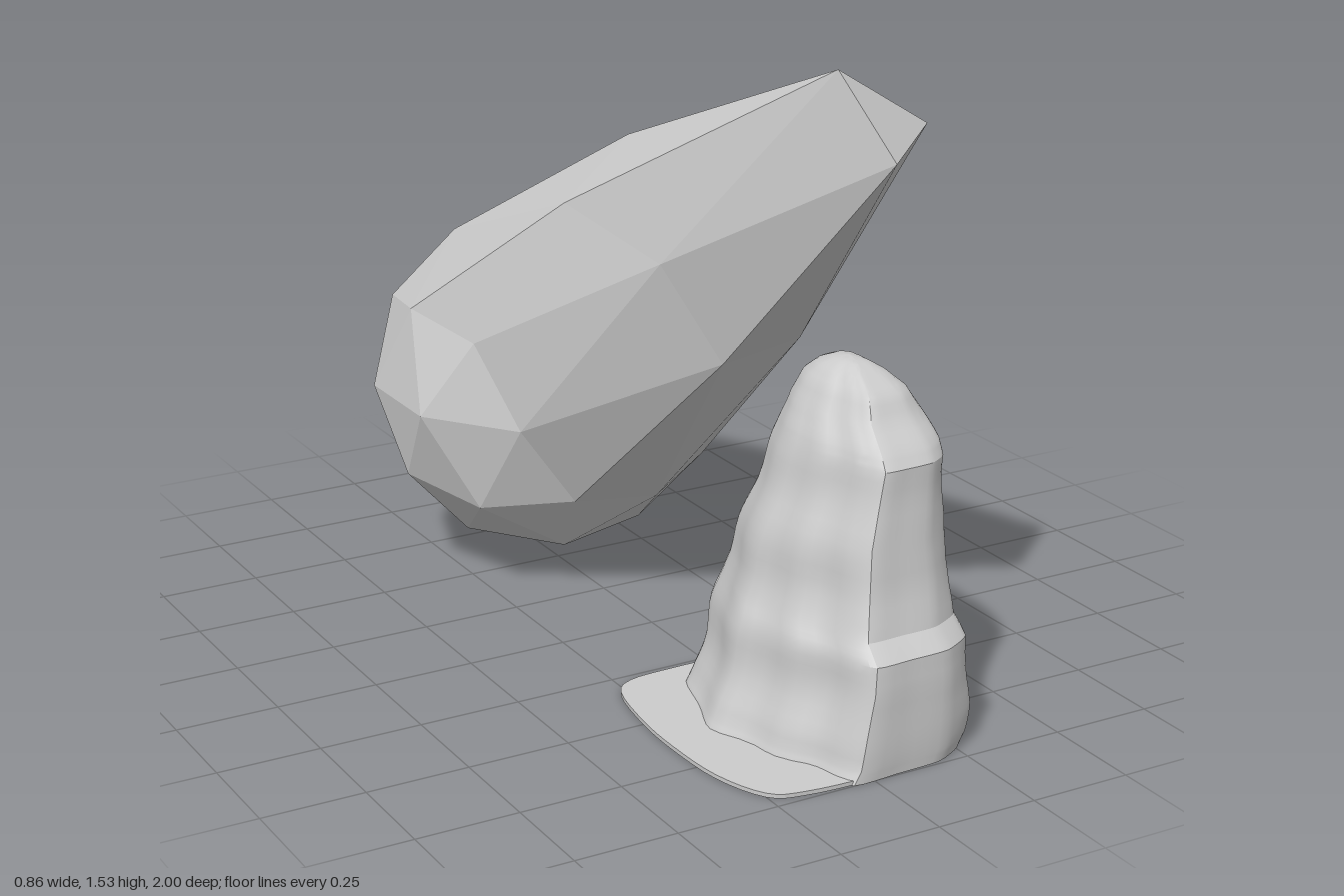
import * as THREE from 'three';
import { toCreasedNormals } from 'three/addons/utils/BufferGeometryUtils.js';
import { ConvexGeometry } from 'three/addons/geometries/ConvexGeometry.js';

const V = (x, y, z) => new THREE.Vector3(x, y, z);

// Once-subdivided icosahedron with a pole up, one face pulled away with a smooth falloff
function teardropGeometry() {
  const radius = 0.45, centre = V(0, 0.49, -0.55), pull = V(0, 0.66, 1.01);
  const h = 1 / Math.sqrt(5), r = 2 * h;
  const corners = [V(0, 1, 0), V(0, -1, 0)];
  for (let i = 0; i < 5; i++) {
    const a = i * Math.PI * 0.4, b = a + Math.PI / 5;
    corners.push(V(r * Math.cos(a), h, r * Math.sin(a)), V(r * Math.cos(b), -h, r * Math.sin(b)));
  }
  const mid = (a, b) => a.clone().add(b).normalize();
  const points = [...corners];
  corners.forEach((a, i) => corners.slice(i + 1).forEach(b => {
    if (a.distanceTo(b) < 1.1) points.push(mid(a, b));
  }));
  const geo = new ConvexGeometry(points);

  // The three corners of the pulled tip face
  const top = corners[0], side = corners[2], front = corners[4];
  const tip = [front, mid(front, top), mid(front, side)];
  const pos = geo.attributes.position, p = V(0, 0, 0);
  for (let i = 0; i < pos.count; i++) {
    p.fromBufferAttribute(pos, i);
    const d = Math.max(0, 1 - Math.min(...tip.map(t => t.distanceTo(p))));
    const f = d * d * (3 - 2 * d);
    p.multiplyScalar(radius).add(centre).addScaledVector(pull, f);
    pos.setXYZ(i, p.x, p.y, p.z);
  }
  geo.computeVertexNormals();
  return geo;
}

// Weathered stone: an angular outline lofted through rows of [y, left x, right x, back z, front z]
function stoneGeometry() {
  const rows = [
    [0.0, -0.19, 0.30, 0.285, 1.0], [0.03, -0.17, 0.31, 0.28, 1.0],
    [0.1, -0.15, 0.31, 0.28, 0.998], [0.2, -0.12, 0.305, 0.285, 0.998],
    [0.265, -0.105, 0.295, 0.30, 0.99], [0.305, -0.095, 0.285, 0.31, 0.945],
    [0.4, -0.07, 0.29, 0.34, 0.92], [0.5, -0.045, 0.275, 0.375, 0.902],
    [0.6, -0.01, 0.28, 0.40, 0.89], [0.67, 0.012, 0.28, 0.42, 0.885],
    [0.7, 0.02, 0.28, 0.43, 0.86], [0.75, 0.04, 0.27, 0.45, 0.80],
    [0.8, 0.07, 0.25, 0.48, 0.765], [0.83, 0.1, 0.22, 0.525, 0.71],
    [0.848, 0.13, 0.19, 0.57, 0.67], [0.855, 0.16, 0.16, 0.62, 0.62],
  ];
  // Outline in fractions of width and depth, counter-clockwise seen from above
  const outline = [[0.28, 1], [0.52, 1], [0.76, 0.99], [0.95, 0.92], [1, 0.8], [1, 0.55], [0.98, 0.28],
    [0.86, 0.08], [0.62, 0], [0.34, 0.02], [0.16, 0.12], [0.05, 0.3], [0, 0.46], [0.08, 0.68], [0.19, 0.87]];
  const n = 60, sub = 3;
  const ring = new THREE.CatmullRomCurve3(outline.map(([u, w]) => V(u, 0, w)), true, 'catmullrom', 0.3).getPoints(n);
  const pos = [], index = [], levels = (rows.length - 1) * sub;
  for (let j = 0; j <= levels; j++) {
    const k = Math.min(Math.floor(j / sub), rows.length - 2), t = j / sub - k;
    const [y, xl, xr, zb, zf] = rows[k].map((v, c) => THREE.MathUtils.lerp(v, rows[k + 1][c], t));
    for (let i = 0; i < n; i++) {
      const { x: u, z: w } = ring[i];
      // Shallow chips and dents, calm on the dressed front face
      const dent = 0.022 * (1 - 0.8 * THREE.MathUtils.smoothstep(w, 0.85, 1))
        * (Math.sin(17 * y + 9 * w + 4 * u) * Math.sin(11 * w - 13 * y + 5 * u) - 0.3);
      pos.push(xl + (xr - xl) * (u + dent * (u - 0.5) * 3), y, zb + (zf - zb) * (w + dent * (w - 0.5) * 2));
    }
  }
  for (let j = 0; j < levels; j++) for (let i = 0; i < n; i++) {
    const a = j * n + i, b = j * n + (i + 1) % n;
    index.push(a, b, b + n, a, b + n, a + n);
  }
  const geo = new THREE.BufferGeometry();
  geo.setAttribute('position', new THREE.Float32BufferAttribute(pos, 3));
  geo.setIndex(index);
  return toCreasedNormals(geo, 0.5);
}

// Thin rounded slab under the stone
function slabGeometry() {
  const outline = [[-0.13, 0.28], [-0.22, 0.29], [-0.275, 0.34], [-0.305, 0.5], [-0.312, 0.65], [-0.3, 0.82],
    [-0.25, 0.95], [-0.17, 0.985], [0, 0.995], [0.19, 0.98], [0.27, 0.93], [0.3, 0.8], [0.3, 0.5], [0.25, 0.35], [0.08, 0.285]];
  const curve = new THREE.SplineCurve([...outline, outline[0]].map(([x, z]) => new THREE.Vector2(x, z)));
  const geo = new THREE.ExtrudeGeometry(new THREE.Shape(curve.getPoints(60)), { depth: 0.01, bevelEnabled: false });
  return geo.rotateX(Math.PI / 2).translate(0, 0.01, 0);
}

export function createModel() {
  const model = new THREE.Group();
  model.name = 'leaningCrystalAndStone';
  const add = (name, geometry, options = {}) => {
    const mesh = new THREE.Mesh(geometry, new THREE.MeshStandardMaterial({ color: 0xcccccc, ...options }));
    mesh.name = name;
    model.add(mesh);
  };
  add('facetedTeardrop', teardropGeometry(), { flatShading: true });
  add('standingStone', stoneGeometry(), { side: THREE.DoubleSide });
  add('groundSlab', slabGeometry());
  return model;
}
